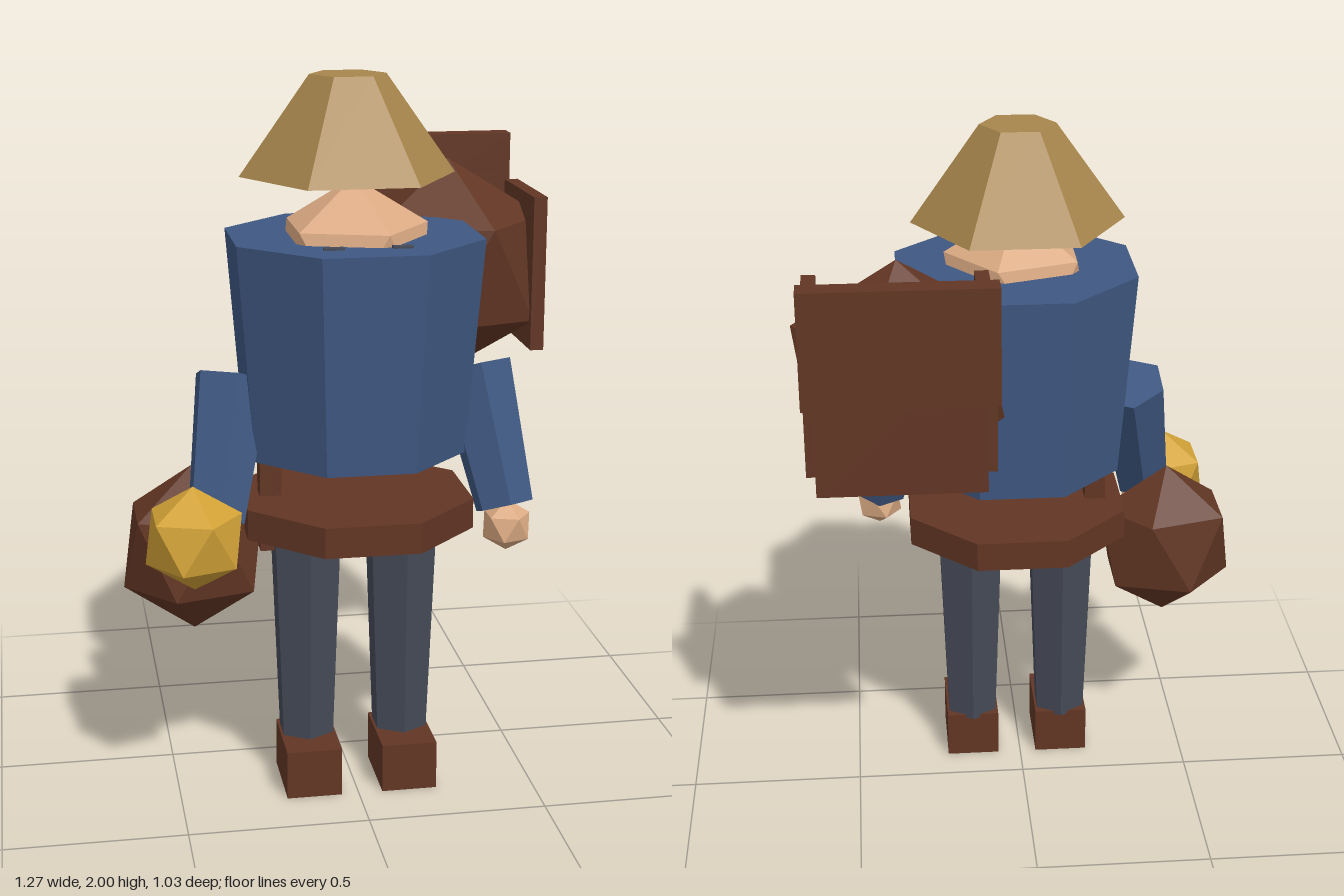
import * as THREE from 'three';
import { ConvexGeometry } from 'three/addons/geometries/ConvexGeometry.js';

const mat = (name, color) => {
  const m = new THREE.MeshStandardMaterial({ color, flatShading: true });
  m.name = name;
  return m;
};

export function createModel() {
  const straw = mat('straw', 0xa8864c);
  const blue = mat('blue cloth', 0x3f5882);
  const skin = mat('skin', 0xdcab84);
  const leather = mat('brown leather', 0x623624);
  const gold = mat('gold', 0xd2a236);
  const slate = mat('slate cloth', 0x454a57);

  const model = new THREE.Group();
  model.name = 'traveller';
  const MID = 0.01; // x of the body's mirror plane

  const add = (name, geometry, material, x, y, z) => {
    const mesh = new THREE.Mesh(geometry, material);
    mesh.name = name;
    mesh.position.set(x, y, z);
    model.add(mesh);
    return mesh;
  };

  // Box given by its extents on each axis
  const box = (name, material, [x0, x1], [y0, y1], [z0, z1]) =>
    add(name, new THREE.BoxGeometry(x1 - x0, y1 - y0, z1 - z0), material,
      (x0 + x1) / 2, (y0 + y1) / 2, (z0 + z1) / 2);

  // Upright tapered prism; turn rotates its corners
  const prism = (name, material, sides, turn, rTop, rBottom, x, y0, y1, z) =>
    add(name, new THREE.CylinderGeometry(rTop, rBottom, y1 - y0, sides, 1, false, turn),
      material, x, (y0 + y1) / 2, z);

  // Twenty-sided ball standing on a corner, upper ring pointing to +x
  const ball = (name, material, x, y, z, rx, ry = rx, rz = rx) => {
    const h = 1 / Math.sqrt(5), r = 2 * h;
    const points = [new THREE.Vector3(0, ry, 0), new THREE.Vector3(0, -ry, 0)];
    for (let i = 0; i < 10; i++) {
      const a = i * Math.PI / 5;
      points.push(new THREE.Vector3(
        rx * r * Math.cos(a), ry * (i % 2 ? -h : h), rz * r * Math.sin(a)));
    }
    return add(name, new ConvexGeometry(points), material, x, y, z);
  };

  // Head and hat
  ball('head', skin, 0.005, 1.51, 0.2, 0.227);
  prism('hat', straw, 6, Math.PI / 6, 0.105, 0.297, 0.005, 1.73, 2, 0.107);

  // Body
  prism('torso', blue, 8, Math.PI / 8, 0.362, 0.313, MID, 0.985, 1.58, 0.172);
  prism('belt', leather, 8, Math.PI / 8, 0.339, 0.339, MID, 0.77, 0.855, 0.178);

  // Paired parts: eyes, legs, shoes, arms, hands
  for (const [side, s] of [['left', 1], ['right', -1]]) {
    const ex = MID + s * 0.091, lx = MID + s * 0.136;
    box(side + 'Eye', slate, [ex - 0.027, ex + 0.027], [1.55, 1.586], [0.385, 0.406]);
    prism(side + 'Leg', slate, 6, 0, 0.105, 0.082, lx, 0.13, 0.725, 0.175);
    box(side + 'Shoe', leather, [lx - 0.078, lx + 0.078], [0, 0.14], [0.105, 0.335]);

    const top = new THREE.Vector3(MID + s * 0.335, 1.2, 0.185);
    const end = new THREE.Vector3(MID + s * 0.4, 0.832, 0.315);
    const dir = top.clone().sub(end);
    const arm = add(side + 'Arm',
      new THREE.CylinderGeometry(0.109, 0.083, dir.length(), 6), blue,
      ...top.clone().add(end).multiplyScalar(0.5).toArray());
    arm.quaternion.setFromUnitVectors(new THREE.Vector3(0, 1, 0), dir.normalize());
    ball(side + 'Hand', skin, MID + s * 0.402, 0.782, 0.33, 0.073);
  }

  // Lantern glow held in the right hand
  ball('goldenOrb', gold, -0.458, 0.812, 0.388, 0.145);

  // Hip pouch and its strap
  ball('pouch', leather, -0.44, 0.705, 0.155, 0.218, 0.24, 0.182);
  box('pouchStrap', leather, [-0.255, -0.195], [0.695, 1.03], [0.135, 0.195]);

  // Backpack with side boards, back board and flap
  ball('backpack', leather, 0.348, 1.408, -0.188, 0.316, 0.316, 0.272);
  box('packLeftBoard', leather, [0.563, 0.602], [1.185, 1.63], [-0.357, 0.018]);
  box('packRightBoard', leather, [0.095, 0.135], [1.185, 1.63], [-0.357, 0.018]);
  for (const name of ['packLeftBoard', 'packRightBoard']) {
    const board = model.getObjectByName(name);
    board.scale.z = 0.9; // boards are slightly shorter than the pack
    board.position.z = -0.188;
  }
  box('packBackBoard', leather, [0.128, 0.573], [1.185, 1.63], [-0.482, -0.443]);
  box('packFlap', leather, [0.095, 0.602], [1.44, 1.755], [-0.517, -0.453]);

  return model;
}
